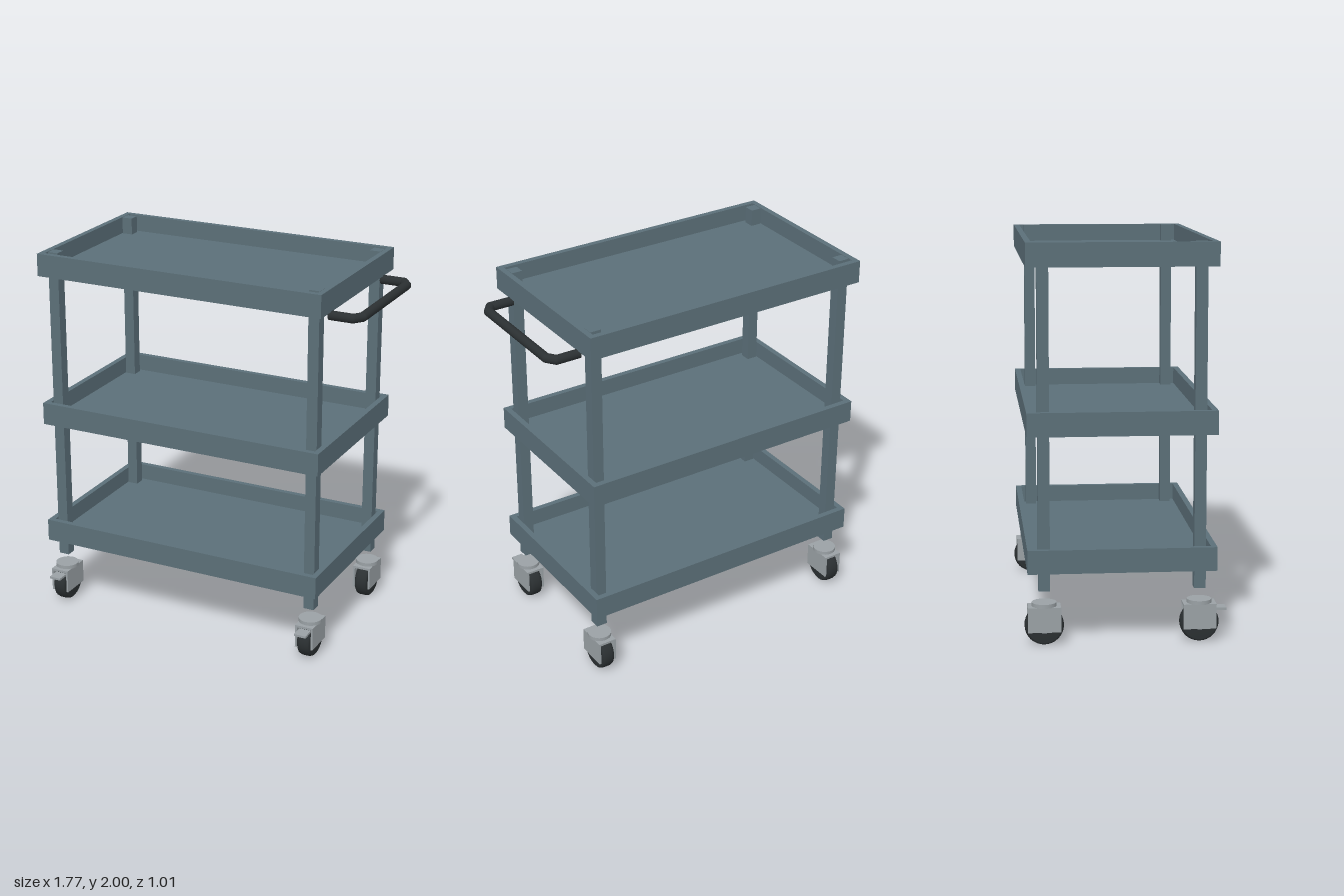
import * as THREE from 'three';

const paint = new THREE.MeshStandardMaterial({ color: 0x5b6f78 });
const rubber = new THREE.MeshStandardMaterial({ color: 0x2b3032 });
const metal = new THREE.MeshStandardMaterial({ color: 0x9aa1a5 });

const CX = -0.085, CZ = -0.018;            // centre of the trays
const W = 1.605, D = 0.943, H = 0.12, T = 0.03;
const LEG_X = [-0.825, 0.657], LEG_Z = [0.371, -0.406];

function add(parent, name, geometry, material, x = 0, y = 0, z = 0) {
  const mesh = new THREE.Mesh(geometry, material);
  mesh.name = name;
  mesh.position.set(x, y, z);
  parent.add(mesh);
  return mesh;
}

const box = (w, h, d) => new THREE.BoxGeometry(w, h, d);

// Open tray: floor and four rim walls, y is its underside
function makeTray(y) {
  const tray = new THREE.Group();
  tray.name = 'tray';
  tray.position.set(CX, y, CZ);
  add(tray, 'trayFloor', box(W - 2 * T, T, D - 2 * T), paint, 0, T / 2, 0);
  for (const s of [-1, 1]) {
    add(tray, 'longRim', box(W, H, T), paint, 0, H / 2, s * (D - T) / 2);
    add(tray, 'shortRim', box(T, H, D - 2 * T), paint, s * (W - T) / 2, H / 2, 0);
  }
  return tray;
}

// Caster standing on y = 0, with a brake pedal on the front pair
function makeCaster(hasBrake) {
  const caster = new THREE.Group();
  caster.name = 'caster';
  const R = 0.098;
  const profile = [[0, -0.037], [0.084, -0.037], [0.094, -0.03], [R, -0.015],
    [R, 0.015], [0.094, 0.03], [0.084, 0.037], [0, 0.037]]
    .map(([r, h]) => new THREE.Vector2(r, h));
  add(caster, 'wheel', new THREE.LatheGeometry(profile, 32), rubber, 0, R, 0).rotation.z = Math.PI / 2;
  add(caster, 'axle', new THREE.CylinderGeometry(0.035, 0.035, 0.084, 20), metal, 0, R, 0).rotation.z = Math.PI / 2;
  add(caster, 'swivelPlate', new THREE.CylinderGeometry(0.062, 0.062, 0.02, 24), metal, 0, 0.205, 0);
  add(caster, 'forkBridge', box(0.1, 0.012, 0.165), metal, 0, 0.19, 0);
  for (const s of [-1, 1]) {
    add(caster, 'forkCheek', box(0.01, 0.127, 0.165), metal, s * 0.045, 0.1325, 0);
  }
  if (hasBrake) add(caster, 'brakePedal', box(0.065, 0.012, 0.07), metal, 0, 0.166, 0.099);
  return caster;
}

// Push handle: straight tubes joined by round elbows
function makeHandle() {
  const handle = new THREE.Group();
  handle.name = 'handle';
  const r = 0.024, y = 1.86;
  const pts = [[0.705, 0.338], [0.83, 0.338], [0.862, 0.293], [0.862, -0.293], [0.83, -0.338], [0.705, -0.338]]
    .map(([x, z]) => new THREE.Vector3(x, y, z + CZ));
  for (let i = 0; i < pts.length - 1; i++) {
    const dir = pts[i + 1].clone().sub(pts[i]);
    const mid = pts[i].clone().add(pts[i + 1]).multiplyScalar(0.5);
    const tube = add(handle, 'handleTube', new THREE.CylinderGeometry(r, r, dir.length(), 16), rubber, mid.x, mid.y, mid.z);
    tube.quaternion.setFromUnitVectors(new THREE.Vector3(0, 1, 0), dir.normalize());
    if (i > 0) add(handle, 'handleElbow', new THREE.SphereGeometry(r, 16, 12), rubber, pts[i].x, y, pts[i].z);
  }
  return handle;
}

export function createModel() {
  const cart = new THREE.Group();
  cart.name = 'utilityCart';
  for (const y of [0.37, 1.055, 1.88]) cart.add(makeTray(y));

  // Corner legs with a caster under each
  for (const x of LEG_X) {
    LEG_Z.forEach((z, i) => {
      add(cart, 'leg', box(0.058, 1.725, 0.058), paint, x, 1.1375, z);
      const caster = makeCaster(i === 0);
      caster.position.set(x, 0, z);
      cart.add(caster);
    });
  }
  cart.add(makeHandle());
  return cart;
}
